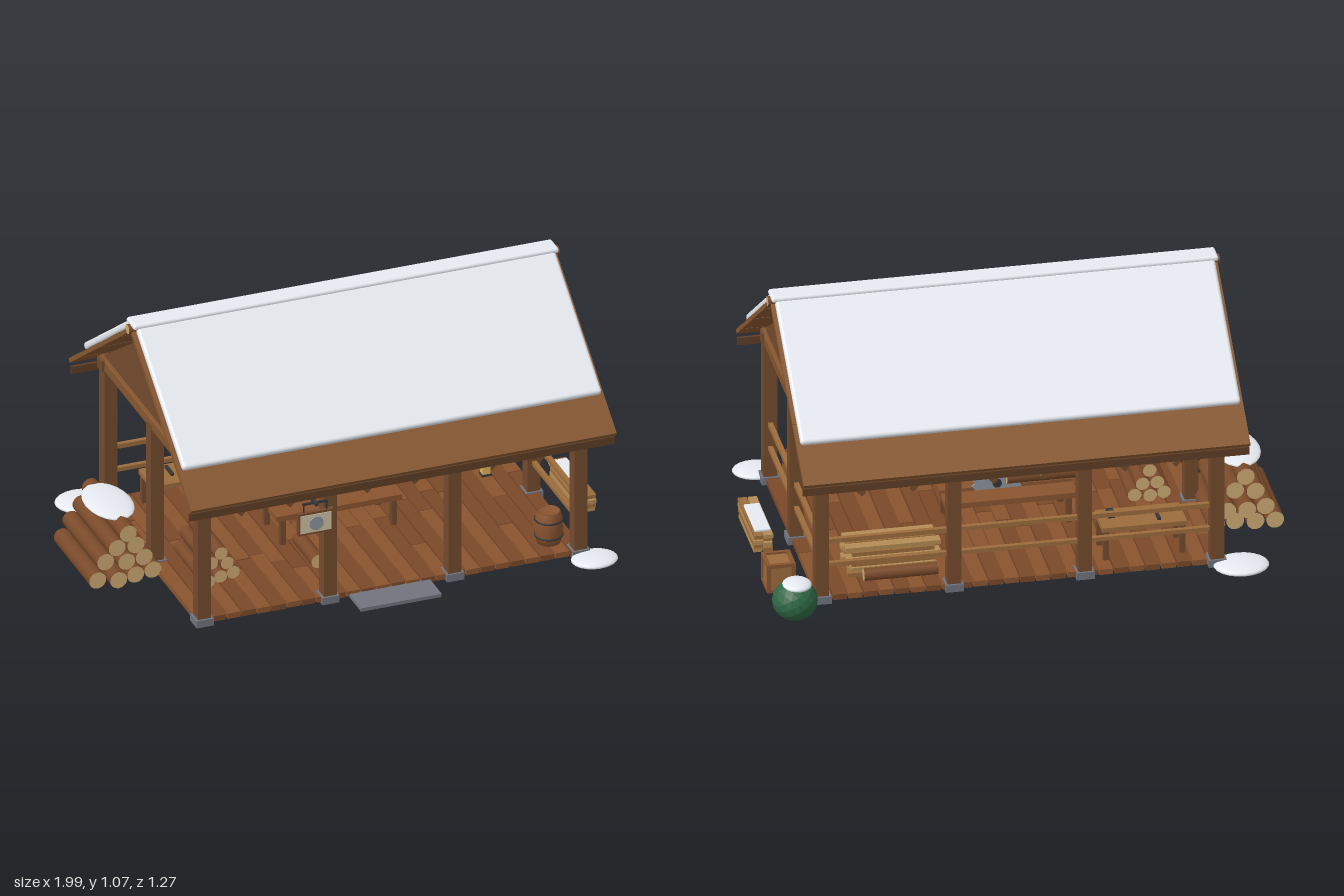
import * as THREE from 'three';
import { RoundedBoxGeometry } from 'three/addons/geometries/RoundedBoxGeometry.js';

const mat = (color, flatShading = false) => {
  const m = new THREE.MeshStandardMaterial({ color });
  m.flatShading = flatShading;
  return m;
};
const M = {
  beam: mat(0x734b2d), dark: mat(0x5f3d24), roof: mat(0x85562f), plank: mat(0x8a5430), plank2: mat(0x7a4828),
  rail: mat(0x9c6c3c), light: mat(0xb48c55), bark: mat(0x7a4a2a), logEnd: mat(0xcdab74), snow: mat(0xe6eaf0),
  stone: mat(0x70747c), steel: mat(0x8d959c), iron: mat(0x34363a), cream: mat(0xcfc3a6), glow: mat(0xe0b45c),
  bush: mat(0x2e6644, true),
};

// Seeded variation
let seed = 7;
const rnd = () => (seed = (seed * 16807) % 2147483647) / 2147483647;

export function createModel() {
  const model = new THREE.Group();
  const CZ = 0.005, PX = [-0.7, -0.2, 0.295, 0.795], PZ = 0.485, MIDX = 0.045;

  const add = (name, geo, material, x, y, z, parent = model) => {
    const m = new THREE.Mesh(geo, material);
    m.name = name;
    m.position.set(x, y, z);
    parent.add(m);
    return m;
  };
  const box = (name, w, h, d, material, x, y, z, parent) =>
    add(name, new THREE.BoxGeometry(w, h, d), material, x, y, z, parent);
  const group = (name) => {
    const g = new THREE.Group();
    g.name = name;
    model.add(g);
    return g;
  };
  const log = (name, r, len, axis, x, y, z, parent) => {
    const m = add(name, new THREE.CylinderGeometry(r, r, len, 14), [M.bark, M.logEnd, M.logEnd], x, y, z, parent);
    if (axis === 'x') m.rotation.z = Math.PI / 2; else m.rotation.x = Math.PI / 2;
    return m;
  };
  const mound = (name, x, y, z, rx, ry, rz) =>
    add(name, new THREE.SphereGeometry(1, 20, 12), M.snow, x, y, z).scale.set(rx, ry, rz);

  // Floor: boards running front to back, each in two staggered pieces
  const floor = group('floor');
  const n = 26, pitch = 1.54 / n;
  for (let i = 0; i < n; i++) {
    const x = MIDX - 0.77 + (i + 0.5) * pitch, split = (rnd() - 0.5) * 0.6;
    [[-0.5, split - 0.002], [split + 0.002, 0.5]].forEach(([a, b], k) =>
      box('floorBoard', pitch - 0.006, 0.022, b - a, (i + k) % 2 ? M.plank : M.plank2,
        x, 0.041 + rnd() * 0.003, CZ + (a + b) / 2, floor));
  }
  box('frontStep', 0.32, 0.014, 0.13, M.stone, 0.04, 0.036, 0.56);

  // Posts, stone feet and knee braces
  const frame = group('frame');
  const post = (x, z) => {
    box('post', 0.052, 0.59, 0.052, M.beam, x, 0.335, z, frame);
    box('postFoot', 0.068, 0.03, 0.068, M.stone, x, 0.042, z, frame);
  };
  for (const s of [-1, 1]) {
    const z = CZ + s * PZ;
    PX.forEach((x, i) => {
      post(x, z);
      for (const d of [-1, 1]) {
        if ((i === 0 && d < 0) || (i === 3 && d > 0)) continue;
        const b = box('kneeBrace', 0.2, 0.02, 0.022, M.beam, x + d * 0.09, 0.53, z, frame);
        b.rotation.z = -d * Math.PI / 4;
      }
    });
    box('wallPlate', 1.56, 0.045, 0.05, M.beam, MIDX, 0.633, z, frame);
  }
  for (const x of [PX[0], PX[3]]) {
    post(x, CZ);
    add('tieBeam', new RoundedBoxGeometry(0.05, 0.046, 1.035, 2, 0.006), M.roof, x, 0.633, CZ, frame);
  }

  // Railings at the back and right end
  for (const [y, h] of [[0.275, 0.018], [0.177, 0.016]]) {
    box('backRail', 1.5, h, 0.018, M.rail, MIDX, y, CZ - PZ, frame);
    box('sideRail', 0.018, h, 0.97, M.rail, PX[3], y, CZ, frame);
  }

  // Gable walls
  const tri = new THREE.Shape([new THREE.Vector2(-0.505, 0.655), new THREE.Vector2(0.505, 0.655), new THREE.Vector2(0, 1.0)]);
  for (const x of [PX[0], PX[3]]) {
    const g = add('gableWall', new THREE.ExtrudeGeometry(tri, { depth: 0.02, bevelEnabled: false }), M.beam, x - 0.01, 0, CZ);
    g.rotation.y = Math.PI / 2;
  }

  // Roof: lapped boards, eave boards and snow, mirrored over the ridge
  const roof = group('roof');
  const rise = 0.453, run = 0.63, ang = Math.atan2(rise, run), slope = Math.hypot(rise, run);
  for (const s of [-1, 1]) {
    const boards = 6, w = slope / boards;
    for (let i = 0; i < boards; i++) {
      const t = (i + 0.5) / boards;
      const b = box('roofBoard', 1.69, 0.016 + (i % 2) * 0.002, w + 0.001, M.roof, MIDX, 1.04 - t * rise, CZ + s * t * run, roof);
      b.rotation.x = s * ang;
    }
    box('eaveBoard', 1.69, 0.03, 0.012, M.dark, MIDX, 0.556, CZ + s * 0.612, roof);
    const snow = add('roofSnow', new RoundedBoxGeometry(1.665, 0.03, 0.6, 3, 0.013), M.snow,
      MIDX, 0.877, CZ + s * 0.27, roof);
    snow.rotation.x = s * ang;
  }
  log('ridgePole', 0.019, 1.71, 'x', MIDX, 1.042, CZ, roof);
  add('ridgeSnow', new RoundedBoxGeometry(1.69, 0.022, 0.085, 3, 0.01), M.snow, MIDX, 1.062, CZ, roof);

  // Log piles stacked in a triangle
  const pile = (name, rows, r, x, y, z, len, dx, dy) => {
    const g = group(name);
    for (let j = 0; j < rows; j++)
      for (let i = 0; i < rows - j; i++)
        log('log', r, len * (0.88 + rnd() * 0.12), 'z', x + (i - (rows - 1 - j) / 2) * dx, y + j * dy, z + (rnd() - 0.5) * 0.03, g);
  };
  pile('logPile', 4, 0.034, -0.858, 0.065, -0.07, 0.4, 0.074, 0.0635);
  mound('logPileSnow', -0.857, 0.282, -0.075, 0.09, 0.016, 0.15);
  pile('smallLogPile', 3, 0.026, -0.545, 0.085, 0.14, 0.3, 0.056, 0.05);

  // Saw table with toothed blade and a log being cut
  const saw = group('sawTable');
  for (const z of [-0.07, 0.045])
    box('tableTop', 0.5, 0.022, 0.09, M.plank, 0.0, 0.17, z, saw);
  for (const x of [-0.22, 0.22]) for (const z of [-0.095, 0.07])
    box('tableLeg', 0.022, 0.11, 0.022, M.beam, x, 0.105, z, saw);
  const teeth = 20, bladeShape = new THREE.Shape();
  for (let i = 0; i < teeth; i++) {
    const a = (i / teeth) * Math.PI * 2, b = a + Math.PI * 2 / teeth * 0.75;
    if (i === 0) bladeShape.moveTo(0.083, 0);
    else bladeShape.lineTo(Math.cos(a) * 0.083, Math.sin(a) * 0.083);
    bladeShape.lineTo(Math.cos(b) * 0.096, Math.sin(b) * 0.096);
  }
  add('sawBlade', new THREE.ExtrudeGeometry(bladeShape, { depth: 0.008, bevelEnabled: false }), M.steel, 0.035, 0.2, -0.014, saw);
  const hub = add('bladeHub', new THREE.CylinderGeometry(0.017, 0.017, 0.026, 16), M.iron, 0.035, 0.2, -0.01, saw);
  hub.rotation.x = Math.PI / 2;
  log('cutLog', 0.028, 0.27, 'x', -0.135, 0.22, -0.01, saw);

  // Workbench with tools
  const bench = group('workbench');
  box('benchTop', 0.32, 0.018, 0.15, M.rail, -0.44, 0.18, -0.355, bench);
  for (const x of [-0.585, -0.295]) for (const z of [-0.295, -0.415])
    box('benchLeg', 0.02, 0.12, 0.02, M.beam, x, 0.112, z, bench);
  box('toolHandle', 0.13, 0.01, 0.012, M.rail, -0.4, 0.194, -0.33, bench);
  box('toolHead', 0.026, 0.018, 0.05, M.iron, -0.33, 0.197, -0.33, bench);
  box('chisel', 0.012, 0.01, 0.07, M.iron, -0.5, 0.194, -0.37, bench);

  // Stacks of sawn boards, indoors and outside
  const indoor = group('indoorLumber'), outdoor = group('outdoorLumber');
  for (let j = 0; j < 6; j++) for (let k = 0; k < 3; k++)
    box('board', 0.31 + rnd() * 0.05, 0.016, 0.04, (j + k) % 2 ? M.light : M.rail, 0.5, 0.066 + j * 0.021, -0.36 + k * 0.045, indoor);
  for (let j = 0; j < 4; j++) for (let k = 0; k < 2; k++)
    box('board', 0.034, 0.015, 0.27 + rnd() * 0.06, (j + k) % 2 ? M.light : M.rail, 0.912 + k * 0.038, 0.042 + j * 0.02, 0.07, outdoor);
  add('lumberSnow', new RoundedBoxGeometry(0.062, 0.014, 0.21, 2, 0.006), M.snow, 0.93, 0.116, 0.045);
  log('looseLog', 0.028, 0.2, 'z', -0.165, 0.085, 0.2);
  log('looseLog', 0.024, 0.28, 'x', 0.48, 0.08, -0.41);

  // Barrel
  const prof = [[0, 0.052], [0.044, 0.052], [0.052, 0.085], [0.054, 0.118], [0.052, 0.15], [0.044, 0.183], [0.04, 0.183], [0.04, 0.175], [0, 0.175]];
  const barrel = group('barrel');
  add('barrelBody', new THREE.LatheGeometry(prof.map(([r, y]) => new THREE.Vector2(r, y)), 16), M.plank, 0.71, 0, 0.405, barrel);
  for (const y of [0.085, 0.15]) {
    const hoop = add('barrelHoop', new THREE.TorusGeometry(0.052, 0.004, 6, 20), M.iron, 0.71, y, 0.405, barrel);
    hoop.rotation.x = Math.PI / 2;
  }

  // Crate with raised edge battens
  const crate = group('crate');
  box('crateBody', 0.096, 0.1, 0.1, M.rail, 0, 0, 0, crate);
  for (const a of [-1, 1]) for (const b of [-1, 1]) {
    box('batten', 0.014, 0.114, 0.014, M.plank, a * 0.047, 0, b * 0.05, crate);
    box('batten', 0.108, 0.014, 0.014, M.plank, 0, a * 0.051, b * 0.05, crate);
    box('batten', 0.014, 0.014, 0.114, M.plank, a * 0.047, b * 0.051, 0, crate);
  }
  crate.position.set(0.927, 0.088, -0.337);

  // Hanging sign on an iron bracket
  const sign = group('hangingSign');
  box('signBracket', 0.012, 0.012, 0.13, M.iron, -0.295, 0.515, 0.56, sign);
  box('bracketArm', 0.1, 0.012, 0.012, M.iron, -0.25, 0.515, 0.51, sign);
  box('signFrame', 0.14, 0.092, 0.018, M.beam, -0.295, 0.435, 0.605, sign);
  box('signPanel', 0.122, 0.074, 0.024, M.cream, -0.295, 0.435, 0.605, sign);
  const disc = add('signDisc', new THREE.CylinderGeometry(0.028, 0.028, 0.034, 20), M.steel, -0.295, 0.435, 0.605, sign);
  disc.rotation.x = Math.PI / 2;
  for (const x of [-0.34, -0.25]) box('signLink', 0.005, 0.04, 0.005, M.iron, x, 0.497, 0.605, sign);
  box('signCrossbar', 0.1, 0.008, 0.008, M.iron, -0.295, 0.515, 0.605, sign);

  // Lantern
  const lantern = group('lantern');
  box('lanternGlass', 0.032, 0.045, 0.028, M.glow, 0.41, 0.487, 0.53, lantern);
  box('lanternBase', 0.038, 0.008, 0.034, M.iron, 0.41, 0.461, 0.53, lantern);
  add('lanternCap', new THREE.ConeGeometry(0.028, 0.02, 4), M.iron, 0.41, 0.518, 0.53, lantern).rotation.y = Math.PI / 4;
  box('lanternHook', 0.004, 0.09, 0.004, M.iron, 0.41, 0.56, 0.53, lantern);

  // Bush and ground snow
  add('bush', new THREE.IcosahedronGeometry(0.086, 2), M.bush, 0.908, 0.078, -0.55).scale.set(1, 0.91, 0.98);
  mound('bushSnow', 0.9, 0.142, -0.55, 0.055, 0.018, 0.06);
  mound('groundSnow', 0.83, 0.037, 0.565, 0.09, 0.018, 0.075);
  mound('groundSnow', -0.785, 0.038, -0.53, 0.105, 0.02, 0.09);

  return model;
}
